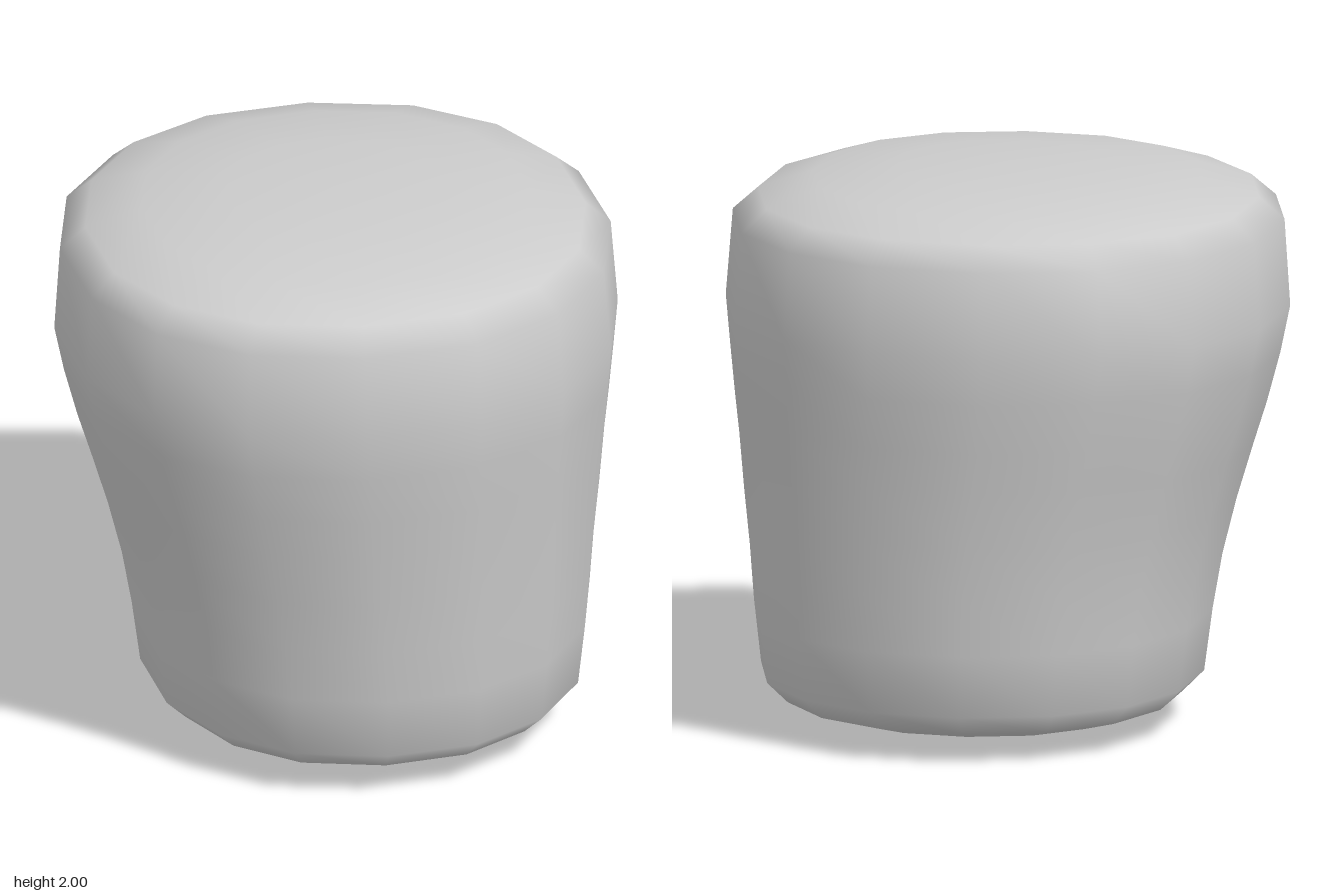
import * as THREE from 'three';

const SIDES = 16;

// Cross-sections from bottom to top: [height, right edge x, left edge x, half depth]
const SECTIONS = [
  [0.015, -0.22, 0.4, 0.34],
  [0.05, -0.46, 0.64, 0.6],
  [0.1, -0.62, 0.8, 0.78],
  [0.175, -0.695, 0.875, 0.86],
  [0.4, -0.725, 0.9, 0.885],
  [0.6, -0.76, 0.915, 0.902],
  [0.8, -0.81, 0.935, 0.922],
  [1.0, -0.87, 0.952, 0.945],
  [1.15, -0.917, 0.968, 0.965],
  [1.33, -0.965, 0.985, 0.985],
  [1.5, -1, 1, 1],
  [1.81, -0.98, 0.975, 0.977],
  [1.89, -0.89, 0.885, 0.885],
  [1.955, -0.69, 0.69, 0.69],
  [1.99, -0.39, 0.39, 0.39],
];

// Slightly squared circle
const squared = (v) => Math.sign(v) * Math.pow(Math.abs(v), 0.92);

function loftGeometry() {
  const positions = [];
  const indices = [];
  for (const [y, x0, x1, depth] of SECTIONS) {
    for (let i = 0; i < SIDES; i++) {
      const a = (i / SIDES) * Math.PI * 2;
      positions.push((x0 + x1) / 2 + squared(Math.cos(a)) * (x1 - x0) / 2, y, squared(Math.sin(a)) * depth);
    }
  }
  // Centre points of the bottom and the top
  const bottom = positions.length / 3;
  positions.push(0.1, 0, 0, 0, 2, 0);
  const lastRing = (SECTIONS.length - 1) * SIDES;

  for (let i = 0; i < SIDES; i++) {
    const j = (i + 1) % SIDES;
    for (let r = 0; r < lastRing; r += SIDES) {
      const a = r + i, b = r + j, c = b + SIDES, d = a + SIDES;
      indices.push(a, d, c, a, c, b);
    }
    indices.push(bottom, i, j);
    indices.push(bottom + 1, lastRing + j, lastRing + i);
  }
  const geometry = new THREE.BufferGeometry();
  geometry.setAttribute('position', new THREE.Float32BufferAttribute(positions, 3));
  geometry.setIndex(indices);
  geometry.computeVertexNormals();
  return geometry;
}

export function createModel() {
  const group = new THREE.Group();
  group.name = 'roundedBlock';
  // Tapered body with domed ends, leaning in more on one side
  const body = new THREE.Mesh(loftGeometry(), new THREE.MeshStandardMaterial({ color: 0xcccccc }));
  body.name = 'body';
  group.add(body);
  return group;
}
